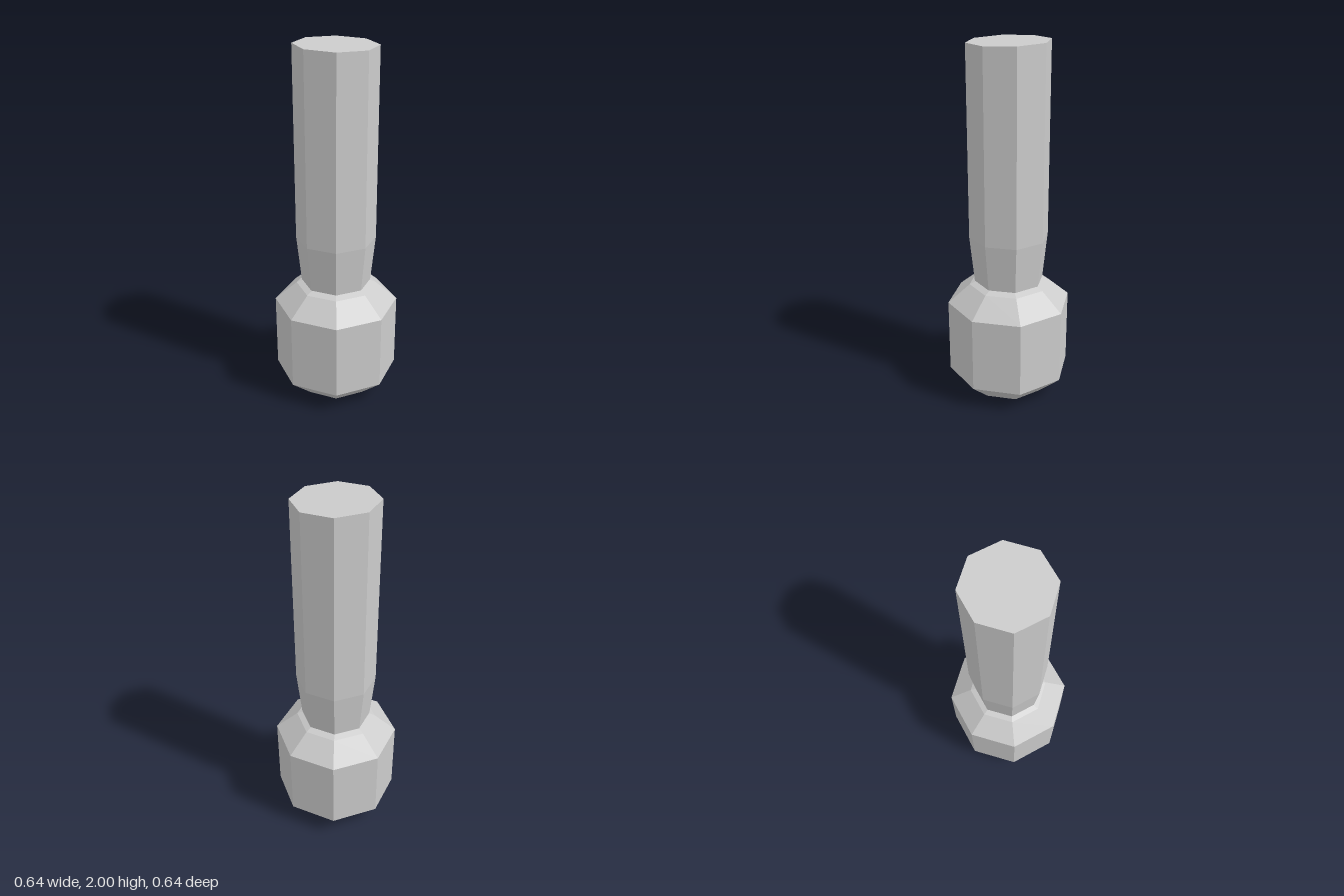
import * as THREE from 'three';

// Turns a [apothem, height] profile into a faceted eight-sided solid with flats on the axes
function octagonalSolid(name, profile) {
  const points = profile.map(([a, y]) => new THREE.Vector2(a / Math.cos(Math.PI / 8), y));
  const geometry = new THREE.LatheGeometry(points, 8, Math.PI / 8);
  const material = new THREE.MeshStandardMaterial({ color: 0xcccccc, flatShading: true });
  const mesh = new THREE.Mesh(geometry, material);
  mesh.name = name;
  return mesh;
}

export function createModel() {
  const group = new THREE.Group();
  group.name = 'octagonalMallet';

  // Chunky head with bevelled top and bottom
  const head = octagonalSolid('head', [
    [0, 0], [0.2, 0.005], [0.322, 0.125], [0.322, 0.55], [0.208, 0.655], [0.17, 0.672], [0, 0.672],
  ]);

  // Straight handle, narrowing where it meets the head
  const handle = octagonalSolid('handle', [
    [0, 0.67], [0.18, 0.675], [0.205, 0.94], [0.205, 1.99], [0, 1.99],
  ]);

  // Slightly slanted cut across the end of the handle
  const p = handle.geometry.attributes.position;
  for (let i = 0; i < p.count; i++) {
    if (p.getY(i) > 1.9) p.setY(i, 1.99 - 0.03 * p.getX(i) - 0.02 * p.getZ(i));
  }
  handle.geometry.computeVertexNormals();

  group.add(head, handle);
  return group;
}
